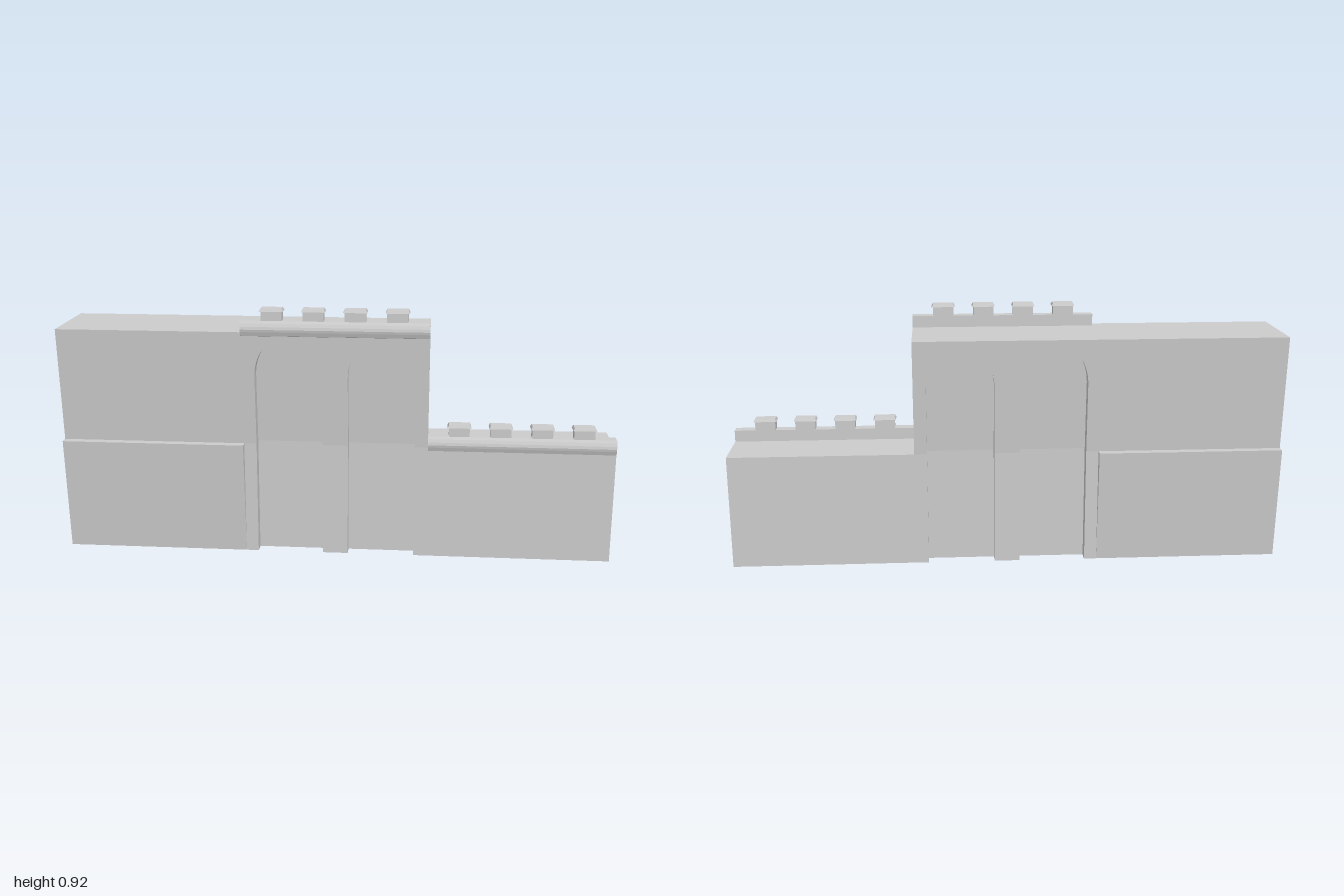
import * as THREE from 'three';

const STOREY = 0.4167;          // height of one storey
const HALF = 0.125;             // half wall thickness at the foot
const NICHE_DEPTH = 0.042;
const FLARE = 0.03;             // outward lean per storey
const MID_Z = -0.005;
const NICHES = [[-0.288, -0.047], [0.045, 0.287]];
const SPRING = 0.67, CROWN = 0.822;

const material = new THREE.MeshStandardMaterial({ color: 0xcccccc, flatShading: true });

function addMesh(parent, geometry, name) {
  const mesh = new THREE.Mesh(geometry, material);
  mesh.name = name;
  parent.add(mesh);
  return mesh;
}

// Extrudes an outline through the wall; faces lean outward above flareFrom.
function slab(shape, half, flareFrom = Infinity) {
  const geometry = new THREE.ExtrudeGeometry(shape, { depth: 1, bevelEnabled: false, curveSegments: 12 });
  const p = geometry.attributes.position;
  for (let i = 0; i < p.count; i++) {
    const lean = Math.max(0, p.getY(i) - flareFrom) / STOREY * FLARE;
    p.setZ(i, MID_Z + (p.getZ(i) > 0.5 ? 1 : -1) * (half + lean));
  }
  geometry.computeVertexNormals();
  return geometry;
}

function rect(x0, x1, y0, y1) {
  return new THREE.Shape([[x0, y0], [x1, y0], [x1, y1], [x0, y1]].map(([x, y]) => new THREE.Vector2(x, y)));
}

// Upper storey outline with arched openings cut from its lower edge
function upperOutline() {
  const s = new THREE.Shape();
  s.moveTo(-1, STOREY);
  for (const [a, b] of NICHES) {
    s.lineTo(a, STOREY);
    s.lineTo(a, SPRING);
    s.absellipse((a + b) / 2, SPRING, (b - a) / 2, CROWN - SPRING, Math.PI, 0, true);
    s.lineTo(b, STOREY);
  }
  s.lineTo(0.333, STOREY);
  s.lineTo(0.333, 2 * STOREY);
  s.lineTo(-1, 2 * STOREY);
  s.closePath();
  return s;
}

// Merlon cap: thin slab with a sloped rim
function capGeometry() {
  const g = new THREE.BoxGeometry(0.084, 0.01, 0.052);
  const p = g.attributes.position;
  for (let i = 0; i < p.count; i++) {
    if (p.getY(i) > 0) {
      p.setX(i, p.getX(i) * 0.88);
      p.setZ(i, p.getZ(i) * 0.82);
    }
  }
  g.computeVertexNormals();
  return g;
}

// Parapet with rounded outer moulding and four merlons, origin on the wall top
function makeParapet(name) {
  const group = new THREE.Group();
  group.name = name;
  const profile = [
    [0.109, -0.013], [0.15, -0.013], [0.156, -0.011], [0.161, 0.003], [0.163, 0.012],
    [0.161, 0.022], [0.156, 0.033], [0.15, 0.042], [0.109, 0.042],
  ].map(([z, y]) => new THREE.Vector2(-z, y)).reverse();
  const moulding = new THREE.ExtrudeGeometry(new THREE.Shape(profile), { depth: 0.666, bevelEnabled: false });
  moulding.rotateY(Math.PI / 2).translate(-0.333, 0, 0);
  addMesh(group, moulding, 'parapetMoulding');
  for (let i = 0; i < 4; i++) {
    const x = (i - 1.5) * 0.1475 - 0.002;
    addMesh(group, new THREE.BoxGeometry(0.074, 0.034, 0.041), 'merlon').position.set(x, 0.059, 0.1295);
    addMesh(group, capGeometry(), 'merlonCap').position.set(x, 0.08, 0.1295);
  }
  return group;
}

export function createModel() {
  const model = new THREE.Group();
  model.name = 'fortressWall';

  // Main masses
  addMesh(model, slab(upperOutline(), HALF, STOREY), 'upperWall');
  addMesh(model, slab(rect(-1, -0.333, 0, STOREY), HALF, 0), 'flaredBase');
  addMesh(model, slab(rect(0.333, 1, 0, STOREY), HALF), 'lowWall');

  // Piers between the niches
  const edges = [-0.333, ...NICHES.flat(), 0.333];
  for (let i = 0; i < edges.length; i += 2) {
    addMesh(model, slab(rect(edges[i], edges[i + 1], 0, STOREY), HALF), 'pier');
  }

  // Recessed niche panels, seen from both faces
  for (const [a, b] of NICHES) {
    addMesh(model, slab(rect(a, b, 0, STOREY), HALF - NICHE_DEPTH), 'lowerNichePanel');
    addMesh(model, slab(rect(a, b, STOREY, 0.826), HALF - NICHE_DEPTH, STOREY), 'upperNichePanel');
  }

  // Parapets along the front edge
  const high = makeParapet('upperParapet');
  high.position.set(0, 2 * STOREY, 0);
  const low = makeParapet('lowerParapet');
  low.position.set(0.667, STOREY, -0.035);
  model.add(high, low);
  return model;
}
